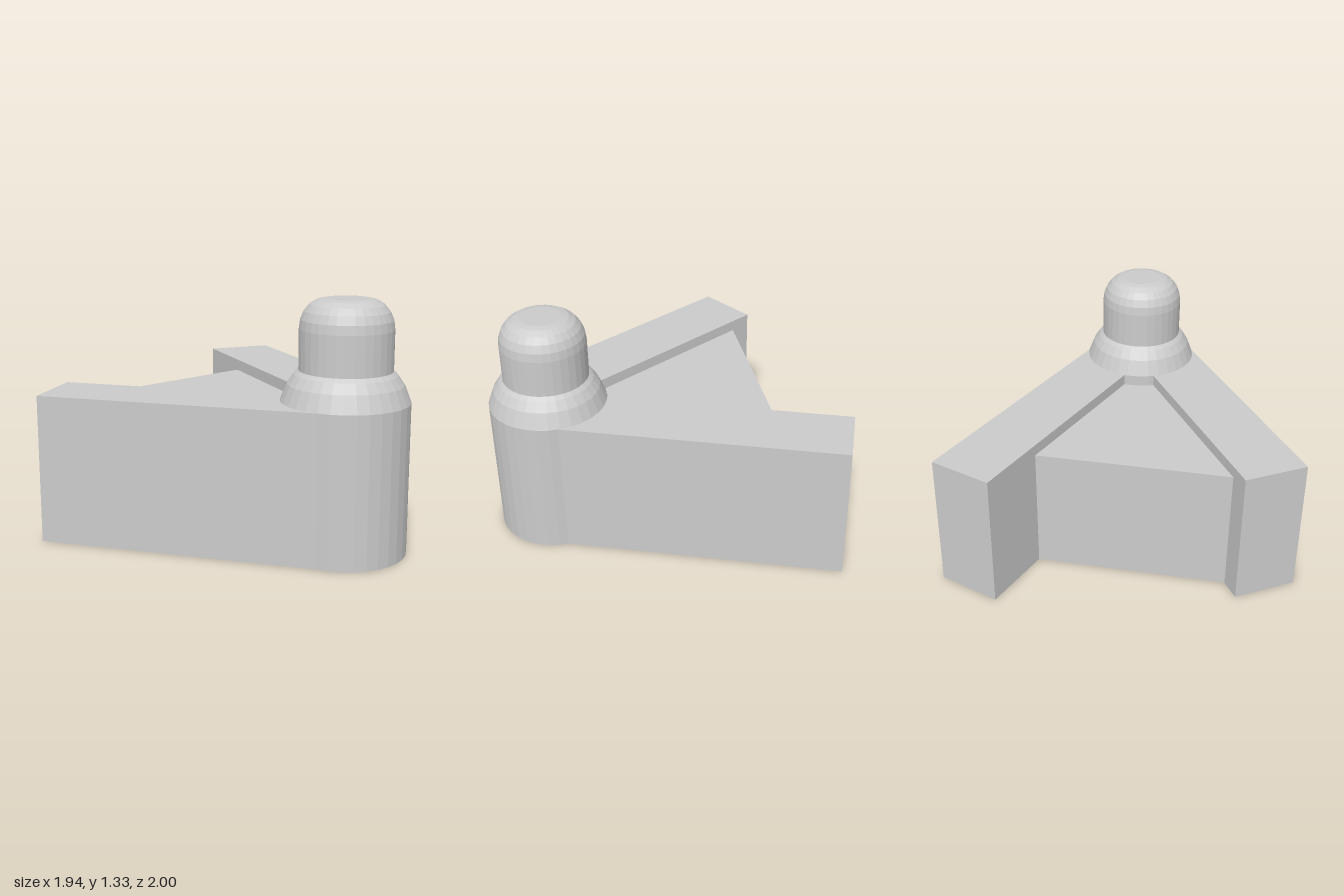
import * as THREE from 'three';

const TOWER = { x: 0.631, z: 0.665 };
const material = new THREE.MeshStandardMaterial({ color: 0xcccccc, flatShading: true });

// Upright prism from a plan outline given as [x, z] corners
function prism(name, corners, height) {
  const shape = new THREE.Shape(corners.map(([x, z]) => new THREE.Vector2(x, -z)));
  const geometry = new THREE.ExtrudeGeometry(shape, { depth: height, bevelEnabled: false });
  geometry.rotateX(-Math.PI / 2);
  const mesh = new THREE.Mesh(geometry, material);
  mesh.name = name;
  return mesh;
}

// Solid of revolution from [radius, y] points
function turned(name, points) {
  const profile = points.map(([r, y]) => new THREE.Vector2(r, y));
  const mesh = new THREE.Mesh(new THREE.LatheGeometry(profile, 32), material);
  mesh.name = name;
  mesh.position.set(TOWER.x, 0, TOWER.z);
  return mesh;
}

export function createModel() {
  const model = new THREE.Group();
  model.name = 'cornerTowerBuilding';

  // Two long wings meeting in the corner tower
  model.add(prism('frontWing', [[-0.97, 0.75], [0.582, 0.987], [0.642, 0.617], [-0.912, 0.38]], 0.8));
  model.add(prism('backWing', [[-0.27, -0.82], [0.563, 0.695], [0.893, 0.515], [0.06, -1]], 0.8));

  // Lower infill block between the wings
  model.add(prism('infill', [[-0.78, 0.4], [0.6, 0.62], [-0.06, -0.44]], 0.735));

  // Round tower with a curved shoulder
  model.add(turned('tower', [
    [0, 0], [0.335, 0], [0.335, 0.8], [0.3, 0.89], [0.265, 0.94], [0.235, 0.966], [0, 0.966],
  ]));

  // Narrower drum with a rounded, flat-topped cap
  const cap = [[0, 0.96], [0.242, 0.96], [0.242, 1.17]];
  for (let i = 1; i <= 5; i++) {
    const a = (i / 5) * Math.PI / 2;
    cap.push([0.115 + 0.127 * Math.cos(a), 1.17 + 0.155 * Math.sin(a)]);
  }
  cap.push([0, 1.325]);
  model.add(turned('towerCap', cap));

  return model;
}
